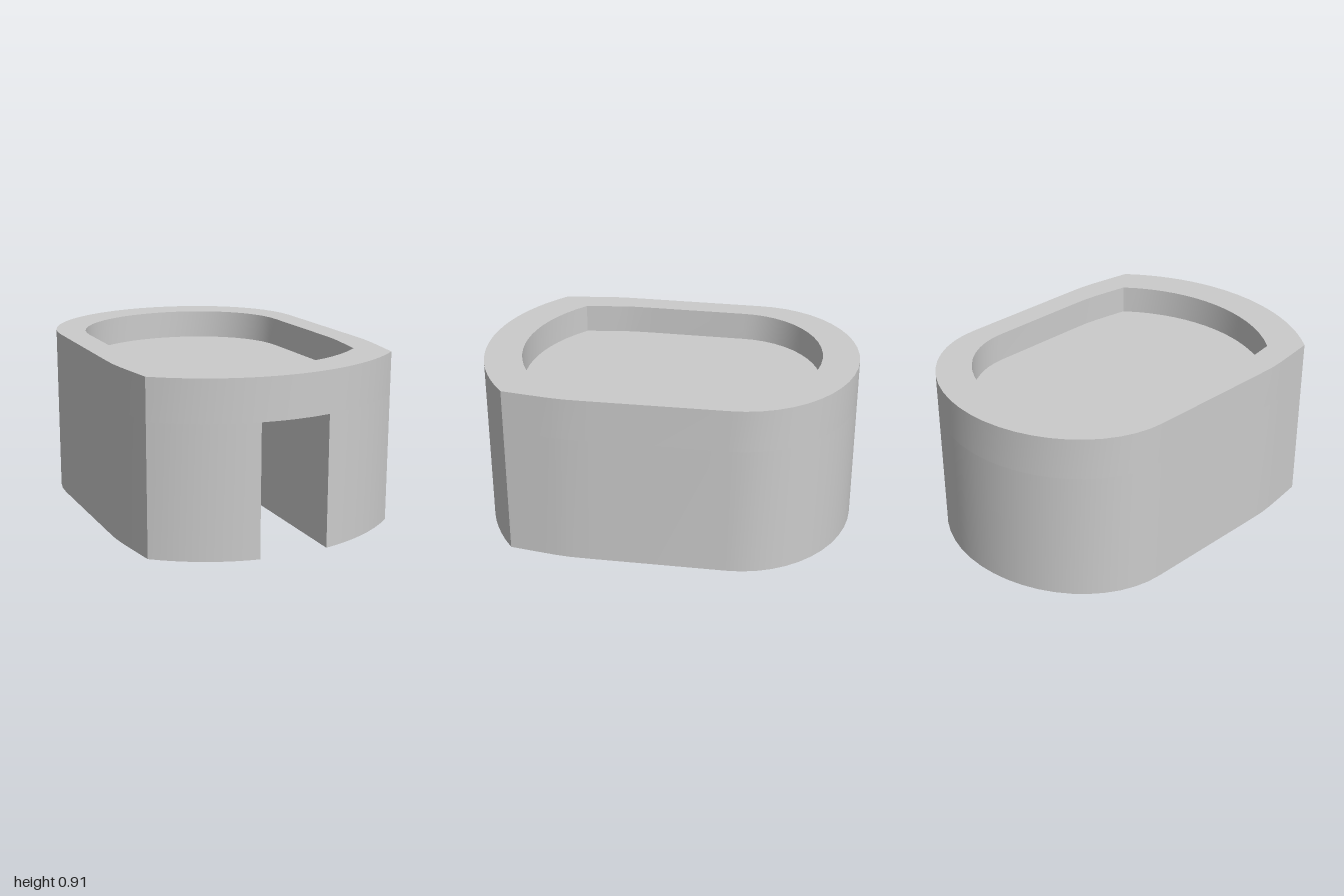
import * as THREE from 'three';
import { toCreasedNormals } from 'three/addons/utils/BufferGeometryUtils.js';

const HEIGHT = 0.91, FLOOR = 0.755, DOOR_TOP = 0.69, DOOR_X = 0.185, TUNNEL_END = -0.45;
const material = new THREE.MeshStandardMaterial({ color: 0xcccccc, side: THREE.DoubleSide });

// z of the shallow circular front arc at a given x
function frontZ(x, o) {
  const r = (o.cornerX ** 2 + o.sag ** 2) / (2 * o.sag);
  return o.front - r + Math.sqrt(r * r - x * x);
}

// +x half of the plan, from startX on the front arc round to the back centre
function halfPlan(o, startX) {
  const pts = [];
  for (let i = 0; i <= 8; i++) {
    const x = startX + (o.cornerX - startX) * i / 8;
    pts.push([x, frontZ(x, o)]);
  }
  pts.push(...o.side);
  const [ax, az] = o.side[o.side.length - 1];
  for (let i = 1; i <= 12; i++) {
    const a = i / 12 * Math.PI / 2;
    pts.push([i === 12 ? 0 : ax * Math.cos(a), az + (o.back - az) * Math.sin(a)]);
  }
  return pts;
}

// adds the mirrored -x half, going on round to the front again
function mirrored(half) {
  return [...half, ...half.slice(0, -1).reverse().map(([x, z]) => [-x, z])];
}

// upright wall along a plan line
function wall(pts, y0, y1) {
  const v = [];
  for (let i = 0; i < pts.length - 1; i++) {
    const [ax, az] = pts[i], [bx, bz] = pts[i + 1];
    v.push(ax, y0, az, bx, y0, bz, bx, y1, bz, ax, y0, az, bx, y1, bz, ax, y1, az);
  }
  const g = new THREE.BufferGeometry();
  g.setAttribute('position', new THREE.Float32BufferAttribute(v, 3));
  return toCreasedNormals(g, THREE.MathUtils.degToRad(32));
}

// level face at height y, with an optional opening
function level(pts, y, hole) {
  const toV = (list) => list.map(([x, z]) => new THREE.Vector2(x, -z));
  const shape = new THREE.Shape(toV(pts));
  if (hole) shape.holes.push(new THREE.Path(toV(hole)));
  return new THREE.ShapeGeometry(shape).rotateX(-Math.PI / 2).translate(0, y, 0);
}

export function createModel() {
  const group = new THREE.Group();
  const add = (name, geometry) => {
    const mesh = new THREE.Mesh(geometry, material);
    mesh.name = name;
    group.add(mesh);
  };

  const outer = {
    front: 1, back: -1, cornerX: 0.68, sag: 0.25,
    side: [[0.7, 0.61], [0.715, 0.5], [0.722, 0.42], [0.722, 0.3], [0.714, -0.4]],
  };
  const inner = {
    front: 0.8, back: -0.805, cornerX: 0.545, sag: 0.2,
    side: [[0.56, 0.5], [0.574, 0.4], [0.581, 0.32], [0.581, 0.2], [0.575, -0.32]],
  };

  // plan lines: body open at the doorway, the lintel over it, the recess
  const body = mirrored(halfPlan(outer, DOOR_X));
  const lintel = [];
  for (let i = 0; i <= 4; i++) {
    const x = -DOOR_X + DOOR_X * i / 2;
    lintel.push([x, frontZ(x, outer)]);
  }
  const rim = [...body, ...lintel.slice(1, -1)];
  const recess = mirrored(halfPlan(inner, 0)).slice(0, -1);

  // outer shell
  add('lowerWall', wall(body, 0, DOOR_TOP));
  add('upperWall', wall([...rim, rim[0]], DOOR_TOP, HEIGHT));

  // top rim with its sunken floor
  add('topRim', level(rim, HEIGHT, recess));
  add('recessWall', wall([...recess, recess[0]].reverse(), FLOOR, HEIGHT));
  add('recessFloor', level(recess, FLOOR));

  // entrance passage, open at the inner end
  const doorZ = frontZ(DOOR_X, outer);
  add('passageLeftWall', wall([[DOOR_X, doorZ], [DOOR_X, TUNNEL_END]].reverse(), 0, DOOR_TOP));
  add('passageRightWall', wall([[-DOOR_X, doorZ], [-DOOR_X, TUNNEL_END]], 0, DOOR_TOP));
  add('passageCeiling', level([...lintel, [DOOR_X, TUNNEL_END], [-DOOR_X, TUNNEL_END]], DOOR_TOP));

  return group;
}
